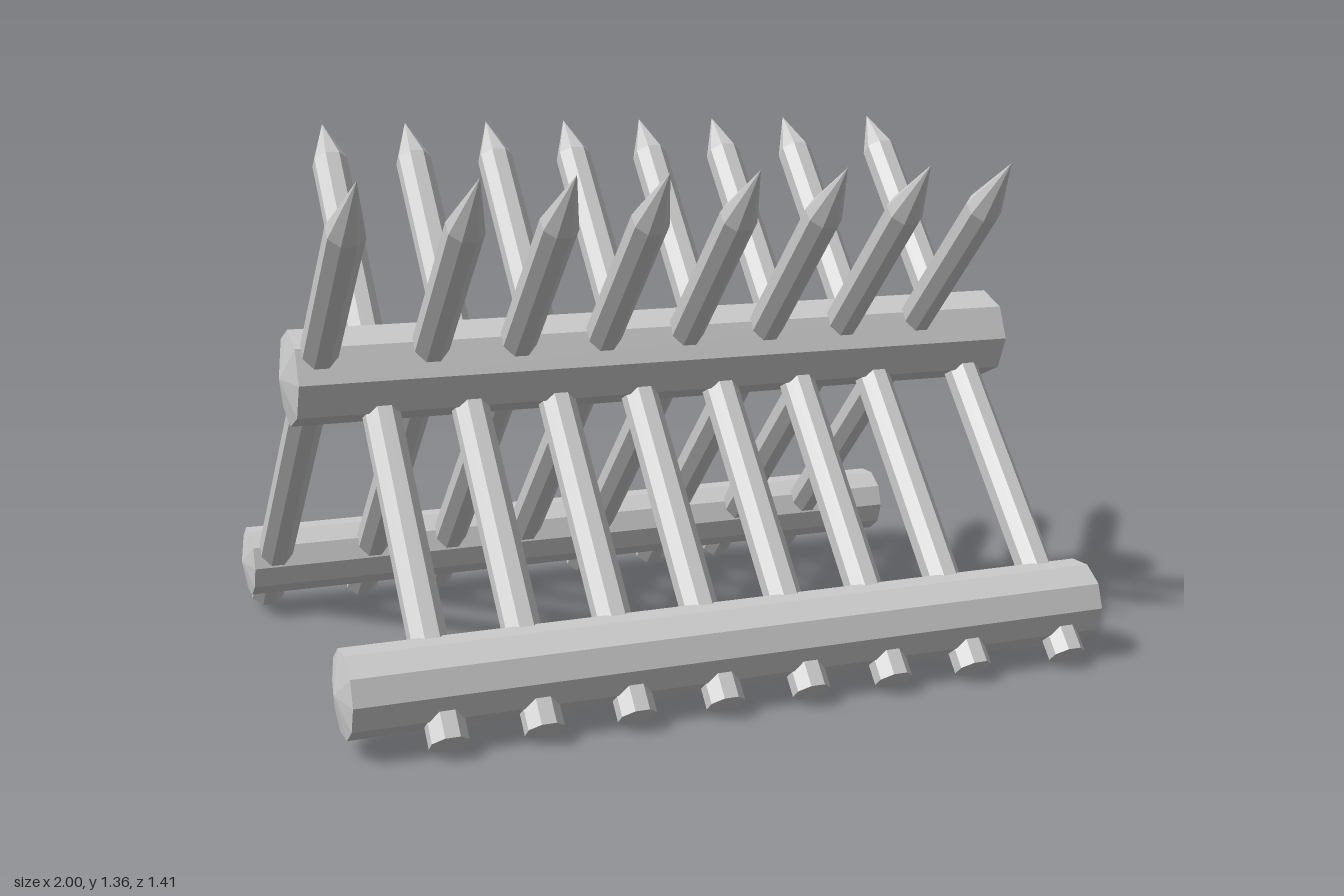
import * as THREE from 'three';

const material = new THREE.MeshStandardMaterial({ color: 0xcccccc, flatShading: true });

// Faceted solid turned around y from [radius, height] pairs
function turned(profile, sides, phase = 0) {
  const points = profile.map(([r, y]) => new THREE.Vector2(r, y));
  return new THREE.LatheGeometry(points, sides, phase);
}

// Log lying along x, with shallow conical ends
function makeLog(name, { y, z, radius, sides, ends }) {
  const [a, b, c, d] = ends;
  const geometry = turned([[0, a], [radius, b], [radius, c], [0, d]], sides);
  geometry.rotateZ(-Math.PI / 2);
  const log = new THREE.Mesh(geometry, material);
  log.name = name;
  log.position.set(0, y, z);
  return log;
}

// Row of parallel sharpened stakes running from base to tip, both given as [y, z]
function makeStakeRow(name, { base, tip, point, xs }) {
  const dy = tip[0] - base[0];
  const dz = tip[1] - base[1];
  const length = Math.hypot(dy, dz);
  const radius = 0.047;
  const geometry = turned(
    [[0, 0], [radius, 0], [radius, length - point], [0, length]], 8, Math.PI / 8);
  geometry.rotateX(Math.atan2(dz, dy));

  const row = new THREE.Group();
  row.name = name;
  xs.forEach((x, i) => {
    const stake = new THREE.Mesh(geometry, material);
    stake.name = `${name}Stake${i + 1}`;
    stake.position.set(x, base[0], base[1]);
    row.add(stake);
  });
  return row;
}

export function createModel() {
  const model = new THREE.Group();
  model.name = 'spikedBarricade';

  // Central log where the stakes cross, and the two lower rails
  const railEnds = [-1.0, -0.98, 0.968, 0.98];
  model.add(
    makeLog('centralLog', {
      y: 0.777, z: 0.068, radius: 0.119, sides: 8, ends: [-1.0, -0.976, 0.97, 1.0],
    }),
    makeLog('frontRail', { y: 0.147, z: 0.573, radius: 0.103, sides: 10, ends: railEnds }),
    makeLog('backRail', { y: 0.155, z: -0.575, radius: 0.094, sides: 10, ends: railEnds }),
  );

  // Two alternating rows of stakes forming an X from the side
  model.add(
    makeStakeRow('backLeaning', {
      base: [0.034, 0.672], tip: [1.363, -0.444], point: 0.125,
      xs: [-0.765, -0.54, -0.313, -0.088, 0.139, 0.364, 0.591, 0.869],
    }),
    makeStakeRow('frontLeaning', {
      base: [0.034, -0.67], tip: [1.284, 0.583], point: 0.17,
      xs: [-0.917, -0.644, -0.42, -0.195, 0.032, 0.259, 0.484, 0.711],
    }),
  );
  return model;
}
